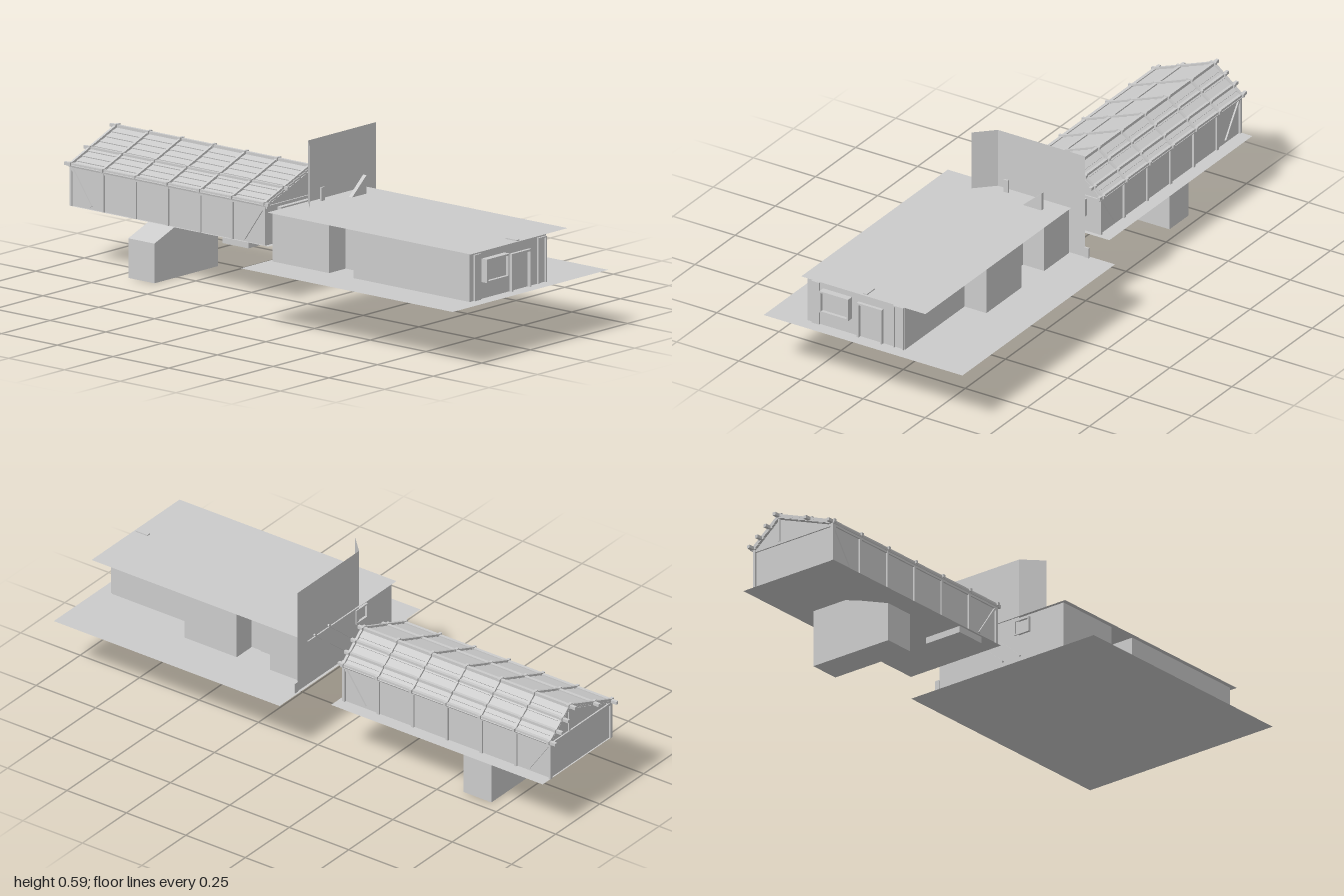
import * as THREE from 'three';

const grey = new THREE.MeshStandardMaterial({ color: 0xcccccc, flatShading: true, side: THREE.DoubleSide });

export function createModel() {
  const model = new THREE.Group();

  const add = (name, geometry, parent = model) => {
    const m = new THREE.Mesh(geometry, grey);
    m.name = name;
    parent.add(m);
    return m;
  };
  // Box given by its limits on each axis
  const box = (name, x0, x1, y0, y1, z0, z1, parent) => {
    const m = add(name, new THREE.BoxGeometry(x1 - x0, y1 - y0, z1 - z0), parent);
    m.position.set((x0 + x1) / 2, (y0 + y1) / 2, (z0 + z1) / 2);
    return m;
  };
  // Horizontal sheet
  const sheet = (name, x0, x1, z0, z1, y, parent) => {
    const m = add(name, new THREE.PlaneGeometry(x1 - x0, z1 - z0).rotateX(-Math.PI / 2), parent);
    m.position.set((x0 + x1) / 2, y, (z0 + z1) / 2);
    return m;
  };
  // Outline in x and y, extruded from z0 to z1
  const extrude = (name, pts, z0, z1, parent) => {
    const shape = new THREE.Shape(pts.map(p => new THREE.Vector2(...p)));
    const m = add(name, new THREE.ExtrudeGeometry(shape, { depth: z1 - z0, bevelEnabled: false }), parent);
    m.position.z = z0;
    return m;
  };
  // Square bar between two points
  const bar = (name, a, b, t, parent) => {
    const A = new THREE.Vector3(...a), B = new THREE.Vector3(...b);
    const m = add(name, new THREE.BoxGeometry(t, t, A.distanceTo(B)), parent);
    m.position.copy(A).lerp(B, 0.5);
    m.lookAt(B);
    return m;
  };
  const group = name => {
    const g = new THREE.Group();
    g.name = name;
    model.add(g);
    return g;
  };

  // ---------- Flat-roofed building ----------
  const G = 0.205, TOP = 0.375;
  const flat = group('flatRoofBuilding');
  sheet('ground', -0.4, 0.4, 0.05, 1.0, G, flat);
  sheet('flatRoof', -0.27, 0.23, 0.055, 0.967, TOP + 0.001, flat);

  // Wall outline in plan, with bays on the left and a recess on the right
  const plan = [[-0.255, 0.95], [0.137, 0.95], [0.137, 0.58], [0.225, 0.58], [0.225, 0.36], [0.14, 0.36],
    [0.14, 0.22], [0.225, 0.22], [0.225, 0.065], [-0.255, 0.065], [-0.255, 0.32], [-0.17, 0.32],
    [-0.17, 0.43], [-0.255, 0.43]];
  const walls = extrude('outerWalls', plan.map(([x, z]) => [x, -z]), 0, TOP - G, flat);
  walls.rotation.x = -Math.PI / 2;
  walls.position.set(0, G, 0);

  // Frame around an opening on a wall facing front or back
  const frame = (name, x0, x1, y0, y1, z0, z1, t) => {
    const f = new THREE.Group();
    f.name = name;
    flat.add(f);
    box('jamb', x0, x0 + t, y0, y1, z0, z1, f);
    box('jamb', x1 - t, x1, y0, y1, z0, z1, f);
    box('head', x0, x1, y1 - t, y1, z0, z1, f);
    if (y0 > G) box('sill', x0, x1, y0, y0 + t, z0, z1, f);
  };
  frame('frontWindowFrame', -0.193, -0.077, 0.263, 0.345, 0.95, 0.974, 0.006);
  box('frontWindowPane', -0.187, -0.083, 0.269, 0.339, 0.948, 0.962, flat);
  frame('frontDoorFrame', -0.05, 0.05, G, 0.336, 0.95, 0.962, 0.007);
  frame('sideDoorFrame', 0.092, 0.134, G, 0.365, 0.95, 0.957, 0.005);
  box('cornerPanel', -0.235, -0.205, G, 0.365, 0.95, 0.957, flat);
  frame('backWindowFrame', -0.11, -0.045, 0.31, 0.365, 0.056, 0.065, 0.005);
  box('recessDoor', 0.14, 0.144, G, 0.33, 0.26, 0.32, flat);
  bar('backBrace', [0.12, 0.39, 0.052], [-0.075, 0.225, 0.052], 0.006, flat);
  bar('backBrace', [0.2, 0.39, 0.052], [0.0, 0.225, 0.052], 0.006, flat);

  // Tall screen at the back with a folded wing
  const screen = group('tallScreen');
  const panel = add('screenPanel', new THREE.PlaneGeometry(0.35, 0.59 - G), screen);
  panel.position.set(0.11, (0.59 + G) / 2, 0.06);
  const wing = add('screenWing', new THREE.PlaneGeometry(0.092, 0.59 - TOP), screen);
  wing.position.set(-0.0975, (0.59 + TOP) / 2, 0.0925);
  wing.rotation.y = Math.PI / 4;
  box('screenFoot', 0.285, 0.302, G, 0.243, 0.057, 0.063, screen);
  extrude('roofFin', [[0.08, TOP], [0.155, TOP], [0.155, 0.44]], 0.115, 0.13, flat);
  box('roofStub', -0.026, -0.008, TOP, 0.423, 0.08, 0.086, flat);
  box('roofVent', -0.025, -0.01, TOP, 0.38, 0.91, 0.96, flat);

  // ---------- Gabled building ----------
  const barn = group('gabledBuilding');
  const RX = 0.135, RY = 0.435, EY = 0.343, LX = -0.105, RE = 0.25;
  sheet('barnFloor', -0.105, 0.29, -0.975, -0.085, G, barn);
  extrude('barnWalls', [[-0.098, G], [0.24, G], [0.24, EY], [RX, RY - 0.008], [-0.098, EY - 0.004]], -0.97, -0.1, barn);

  // Roof slopes made of overlapping boards, with rafters on top
  const bays = Array.from({ length: 7 }, (_, i) => -0.105 - i * 0.1445);
  for (const [edge, count] of [[LX, 8], [RE, 5]]) {
    const slope = Math.atan2(RY - EY, RX - edge);
    const len = Math.hypot(RY - EY, RX - edge);
    for (let i = 0; i < count; i++) {
      const t = (i + 0.5) / count;
      const board = add('roofBoard', new THREE.BoxGeometry(len / count * 1.15, 0.006, 0.88), barn);
      board.position.set(edge + (RX - edge) * t, EY + (RY - EY) * t, -0.537);
      board.rotation.z = slope + (edge < RX ? -0.1 : 0.1);
    }
    for (const z of bays) bar('rafter', [edge, EY + 0.007, z], [RX, RY + 0.007, z], 0.009, barn);
  }

  // Long purlins, projecting past both gables
  for (const x of [-0.1, 0, RX, 0.175, 0.212, RE - 0.003]) {
    const edge = x <= RX ? LX : RE;
    const y = EY + (RY - EY) * (x - edge) / (RX - edge);
    bar('purlin', [x, y + 0.004, -0.085], [x, y + 0.004, -1.0], 0.011, barn);
    for (const z of bays) box('purlinCleat', x - 0.012, x + 0.012, y, y + 0.012, z - 0.005, z + 0.005, barn);
  }

  // Posts and corner braces along both side walls
  for (const x of [-0.099, 0.242]) {
    bays.forEach(z => box('sidePost', x - 0.005, x + 0.005, G, EY, z - 0.005, z + 0.005, barn));
    for (const [z, d] of [[bays[0], -1], [bays[6], 1]])
      bar('sideBrace', [x, EY, z], [x, G + 0.01, z + d * 0.09], 0.008, barn);
    bar('wallPlate', [x, EY - 0.004, -0.1], [x, EY - 0.004, -0.97], 0.009, barn);
  }

  // Gable trim and the front bay
  for (const z of [-0.099, -0.971]) {
    bar('tieBeam', [-0.1, EY - 0.005, z], [0.245, EY - 0.005, z], 0.009, barn);
    bar('kingPost', [RX, EY, z], [RX, RY, z], 0.008, barn);
  }
  box('gableWindow', -0.04, 0.19, 0.265, 0.33, -0.1, -0.083, barn);

  // Undercroft: support pier and shallow hanging boxes
  extrude('supportPier', [[-0.118, 0], [0.21, 0], [0.21, G], [0.07, G], [0, 0.182], [-0.118, 0.138]], -0.7, -0.583, barn);
  box('underBox', 0.115, 0.245, 0.182, G, -0.47, -0.385, barn);
  box('underBox', -0.097, 0.05, 0.182, G, -0.295, -0.18, barn);

  return model;
}
